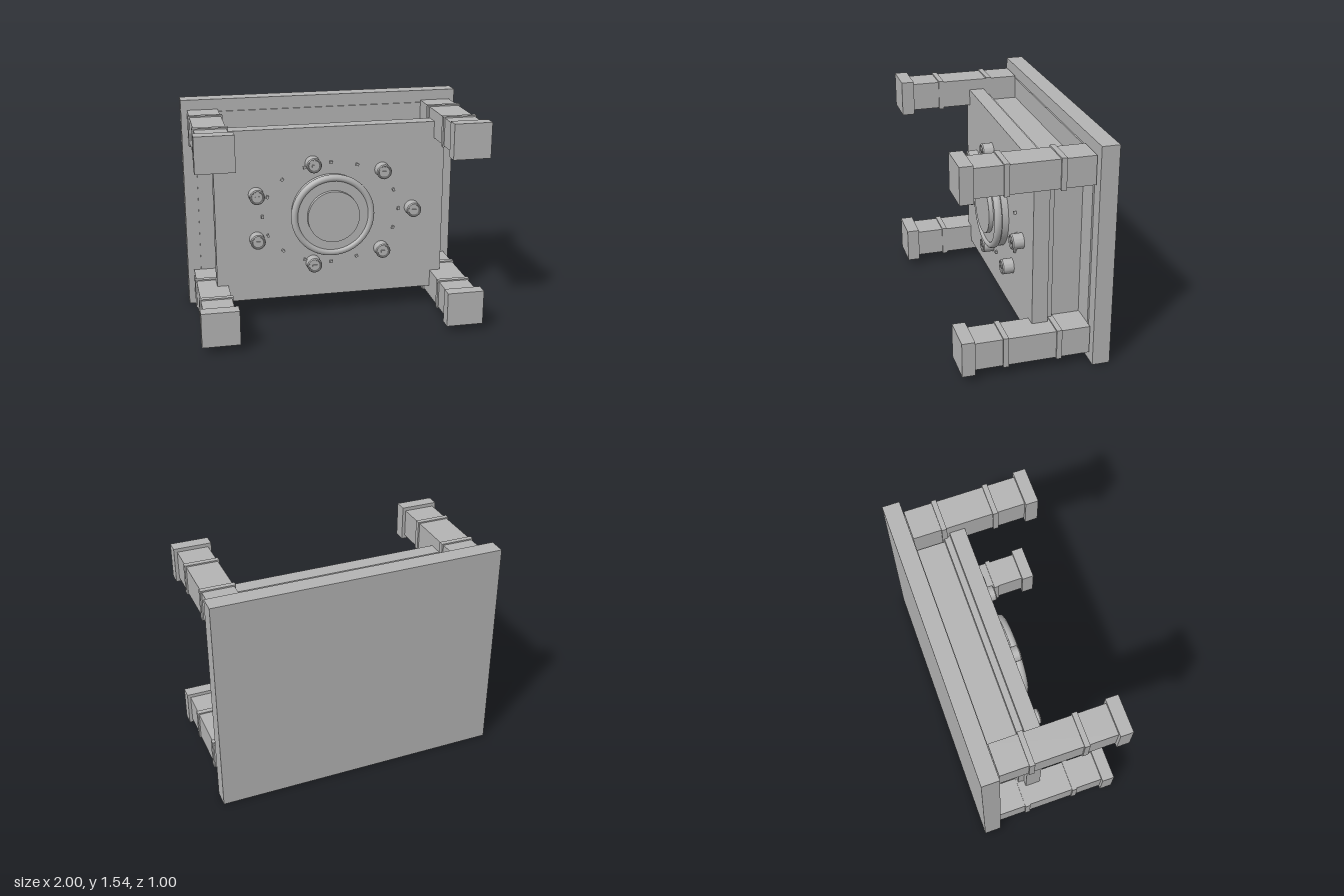
import * as THREE from 'three';
import { toCreasedNormals } from 'three/addons/utils/BufferGeometryUtils.js';

const grey = new THREE.MeshStandardMaterial({ color: 0xb4b4b4 });
grey.name = 'plain grey';
const CY = 0.77; // height of the middle of the table top

function add(parent, name, geometry, x = 0, y = 0, z = 0) {
  const mesh = new THREE.Mesh(geometry, grey);
  mesh.name = name;
  mesh.position.set(x, y, z);
  parent.add(mesh);
  return mesh;
}

// Box given by its width, height and z range
function slab(parent, name, w, h, z0, z1, x = 0, y = CY) {
  return add(parent, name, new THREE.BoxGeometry(w, h, z1 - z0), x, y, (z0 + z1) / 2);
}

// Round part turned about the z axis; profile points are [radius, z]
function turned(profile, segments) {
  const points = profile.map(([r, z]) => new THREE.Vector2(r, z));
  const geometry = new THREE.LatheGeometry(points, segments);
  geometry.rotateX(Math.PI / 2);
  return toCreasedNormals(geometry, 0.6);
}

function makeLeg(x, y) {
  const leg = new THREE.Group();
  leg.name = 'leg';
  slab(leg, 'legPost', 0.215, 0.195, -0.37, 0.42, x, y);
  slab(leg, 'legFoot', 0.26, 0.245, 0.412, 0.5, x, y);
  for (const z of [0.203, -0.158]) {
    slab(leg, 'legBand', 0.235, 0.213, z - 0.018, z + 0.018, x, y);
  }
  // small plate on a stem under the post
  add(leg, 'legPlateStem', new THREE.BoxGeometry(0.04, 0.014, 0.03), x, y - 0.103, 0);
  add(leg, 'legPlate', new THREE.BoxGeometry(0.1, 0.006, 0.07), x, y - 0.11, 0);
  return leg;
}

export function createModel() {
  const model = new THREE.Group();
  model.name = 'tableOnItsSide';

  // Table top and the stepped case under it
  slab(model, 'tableTop', 2, 1.54, -0.5, -0.38);
  slab(model, 'topTrim', 1.81, 1.365, -0.38, -0.37);
  slab(model, 'caseBody', 1.47, 1.07, -0.37, -0.165);
  slab(model, 'caseStep', 1.555, 1.16, -0.165, -0.122);
  slab(model, 'casePanel', 1.64, 1.245, -0.122, -0.015);

  // Four legs
  for (const x of [-0.85, 0.85]) {
    for (const y of [0.1725, 1.3725]) model.add(makeLeg(x, y));
  }

  // Large round hub with a rolled rim and a raised disc
  add(model, 'hub', turned([
    [0.285, -0.015], [0.285, 0.03], [0.293, 0.036], [0.297, 0.048], [0.297, 0.062],
    [0.292, 0.074], [0.28, 0.082], [0.267, 0.082], [0.257, 0.076], [0.252, 0.066], [0, 0.066],
  ], 64), 0, CY, 0);
  add(model, 'hubDisc', turned([[0.185, 0.06], [0.185, 0.097], [0, 0.097]], 64), 0, CY, 0);

  // Seven round knobs on an oval, each with a dished face and a small bar
  const knob = turned([
    [0.053, -0.015], [0.053, 0.057], [0.047, 0.065], [0.041, 0.065], [0.038, 0.058], [0, 0.058],
  ], 32);
  const bar = new THREE.BoxGeometry(0.032, 0.014, 0.008);
  for (let i = 0; i < 7; i++) {
    const a = (i / 7) * Math.PI * 2;
    const x = 0.59 * Math.cos(a), y = CY + 0.377 * Math.sin(a);
    add(model, 'knob', knob, x, y, 0);
    add(model, 'knobBar', bar, x, y, 0.061);
  }

  // Sixteen small studs on a second oval
  const stud = new THREE.BoxGeometry(0.022, 0.016, 0.018);
  for (let i = 0; i < 16; i++) {
    const a = (i / 16) * Math.PI * 2;
    add(model, 'stud', stud, 0.49 * Math.cos(a), CY + 0.37 * Math.sin(a), -0.006).rotation.z = a + Math.PI / 2;
  }
  return model;
}
